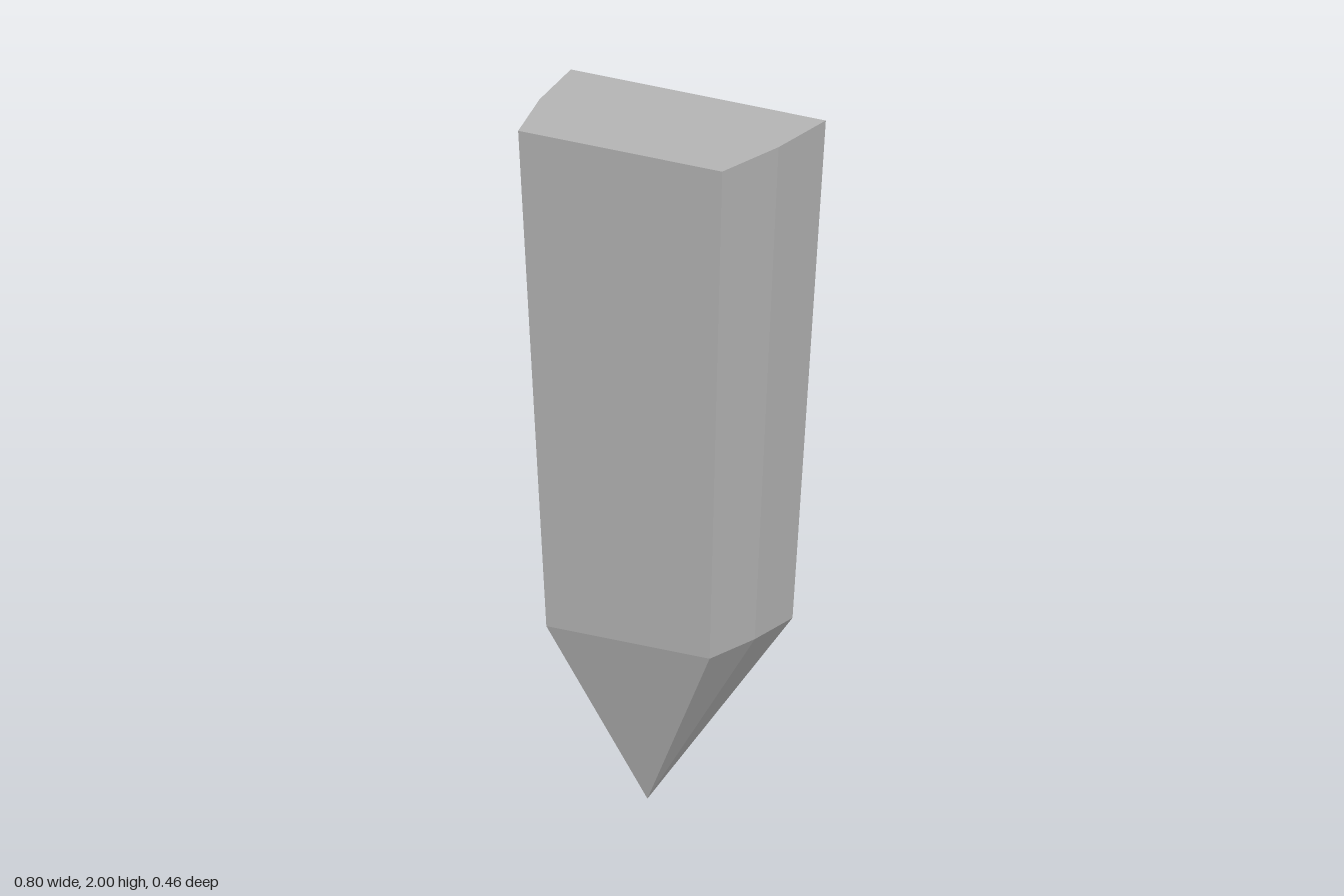
import * as THREE from 'three';

// Six-sided section seen from above, counterclockwise, as [x, z]
const section = [[0.4, -0.233], [-0.4, -0.233], [-0.375, 0], [-0.32, 0.232], [0.32, 0.232], [0.375, 0]];
const ring = (y, scale) => section.map(([x, z]) => [x * scale, y, z * scale]);

function facetedMesh(name, triangles, material) {
  const geometry = new THREE.BufferGeometry();
  geometry.setAttribute('position', new THREE.Float32BufferAttribute(triangles.flat(2), 3));
  geometry.computeVertexNormals();
  const mesh = new THREE.Mesh(geometry, material);
  mesh.name = name;
  return mesh;
}

export function createModel() {
  const group = new THREE.Group();
  group.name = 'stake';
  const gray = new THREE.MeshStandardMaterial({ color: 0xb4b4b4, flatShading: true });
  gray.name = 'stone gray';

  const top = ring(2, 1);
  const shoulder = ring(0.51, 0.8);
  const tip = [0, 0, 0.07];
  const sides = [], point = [], cap = [];

  for (let i = 0; i < section.length; i++) {
    const j = (i + 1) % section.length;
    // Tapered wall
    sides.push([shoulder[i], shoulder[j], top[j]], [shoulder[i], top[j], top[i]]);
    // Facet running down to the off-centre tip
    point.push([tip, shoulder[j], shoulder[i]]);
    // Flat top
    if (i > 0 && j > 0) cap.push([top[0], top[i], top[j]]);
  }

  group.add(
    facetedMesh('shaft', sides, gray),
    facetedMesh('point', point, gray),
    facetedMesh('topFace', cap, gray),
  );
  return group;
}
